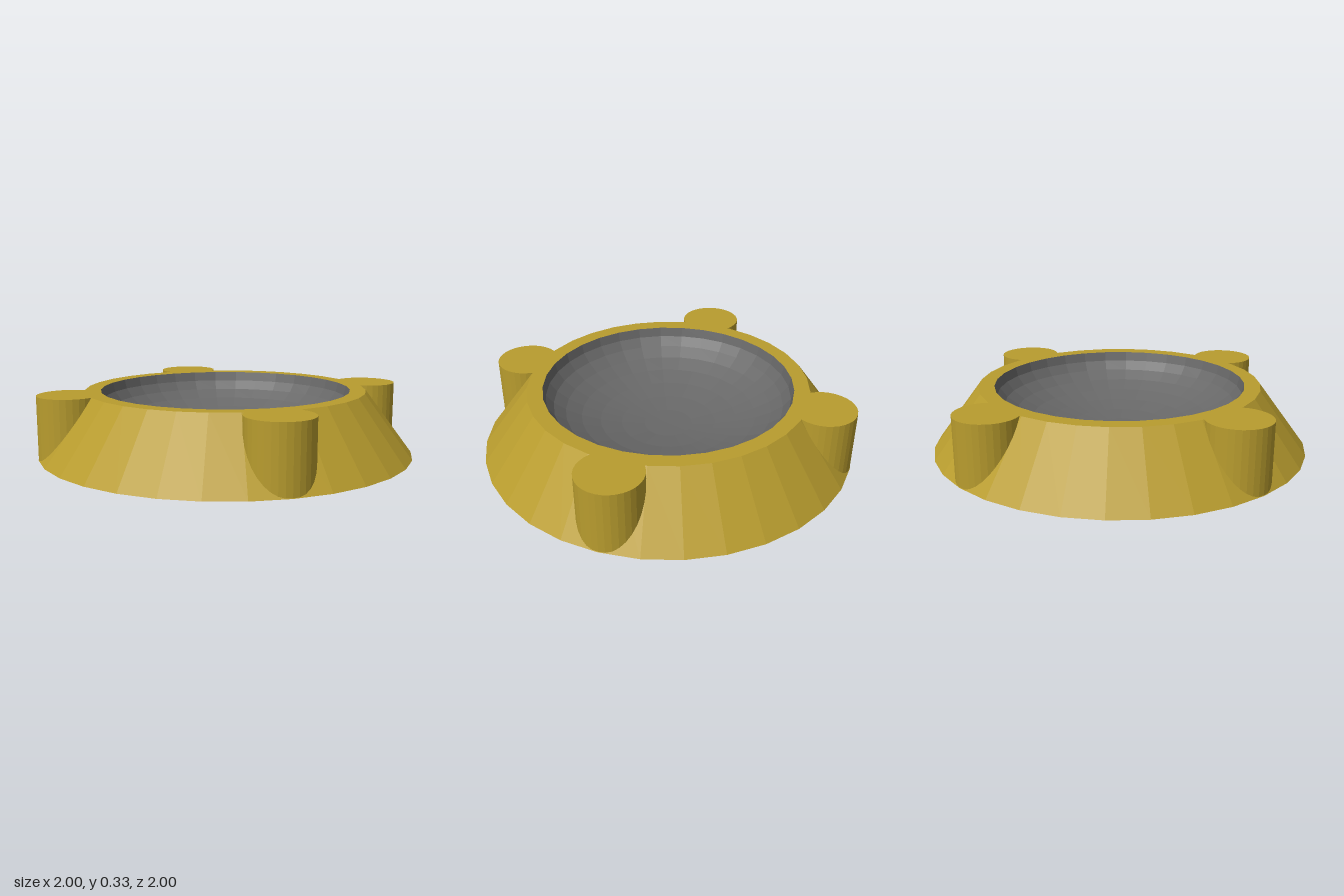
import * as THREE from 'three';

const HEIGHT = 0.333, SEGMENTS = 32;
const BOWL_RADIUS = 0.667, BOWL_DEPTH = 0.26;

export function createModel() {
  const model = new THREE.Group();
  model.name = 'ashtray';
  const gold = new THREE.MeshStandardMaterial({ color: 0xb89c2e, flatShading: true });
  const ash = new THREE.MeshStandardMaterial({ color: 0x686868, flatShading: true });

  const add = (name, geometry, material) => {
    const mesh = new THREE.Mesh(geometry, material);
    mesh.name = name;
    model.add(mesh);
    return mesh;
  };
  const lathe = (points) =>
    new THREE.LatheGeometry(points.map(([r, y]) => new THREE.Vector2(r, y)), SEGMENTS);

  // Sloping body with closed underside and flat rim
  add('body', lathe([[0, 0], [1, 0], [0.75, HEIGHT], [BOWL_RADIUS, HEIGHT]]), gold);

  // Hollow: lower half of a flattened sphere, from rim to centre
  const rings = 8;
  const profile = [];
  for (let i = 0; i <= rings; i++) {
    const a = (i / rings) * Math.PI / 2;
    const r = i === rings ? 0 : BOWL_RADIUS * Math.cos(a);
    profile.push([r, HEIGHT - BOWL_DEPTH * Math.sin(a)]);
  }
  add('bowl', lathe(profile), ash);

  // Four round posts set into the slope on the diagonals
  const postGeometry = new THREE.CylinderGeometry(0.165, 0.165, HEIGHT, SEGMENTS);
  for (const x of [-1, 1]) {
    for (const z of [-1, 1]) {
      const name = (z > 0 ? 'front' : 'back') + (x > 0 ? 'Left' : 'Right') + 'Post';
      add(name, postGeometry, gold).position.set(x * 0.589, HEIGHT / 2, z * 0.589);
    }
  }
  return model;
}
